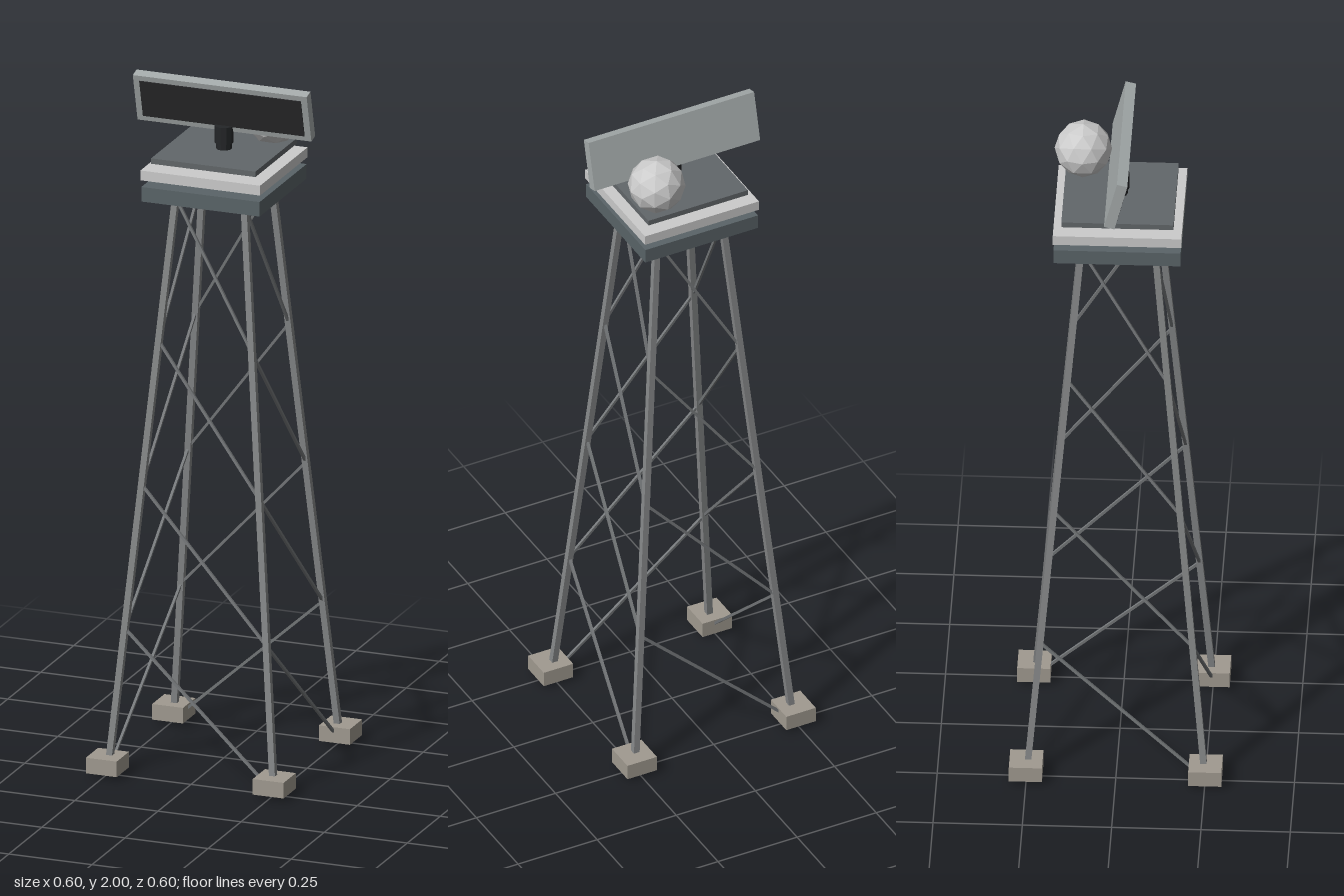
import * as THREE from 'three';

const mat = (color) => new THREE.MeshStandardMaterial({ color, flatShading: true });
const steel = mat(0x858788), braceSteel = mat(0x75787a), concrete = mat(0xa09a90);
const deckMat = mat(0x5a6468), railMat = mat(0xcccccc), plateMat = mat(0x62676a);
const black = mat(0x242628), casing = mat(0xa4aaaa), screenMat = mat(0x2a2a2c);

function add(parent, name, geometry, material, x = 0, y = 0, z = 0) {
  const mesh = new THREE.Mesh(geometry, material);
  mesh.name = name;
  mesh.position.set(x, y, z);
  parent.add(mesh);
  return mesh;
}

// Square bar running from point a to point b
function bar(parent, name, a, b, width, material) {
  const dir = b.clone().sub(a);
  const mid = a.clone().add(b).multiplyScalar(0.5);
  const mesh = add(parent, name, new THREE.BoxGeometry(width, dir.length(), width), material, mid.x, mid.y, mid.z);
  mesh.quaternion.setFromUnitVectors(new THREE.Vector3(0, 1, 0), dir.normalize());
}

const BASE = 0.25, TOP = 0.102, HEIGHT = 1.69;
const corners = [[-1, -1], [1, -1], [1, 1], [-1, 1]];

// Point on the centre line of a leg at height y
function legPoint(i, y) {
  const [sx, sz] = corners[i % 4];
  const r = THREE.MathUtils.lerp(BASE, TOP, y / HEIGHT);
  return new THREE.Vector3(sx * r, y, sz * r);
}

export function createModel() {
  const model = new THREE.Group();
  model.name = 'latticeTower';

  // Legs, footings and one rising diagonal per tier on each face
  const tower = new THREE.Group();
  tower.name = 'tower';
  model.add(tower);
  const tiers = 4, y0 = 0.005, step = 0.417;
  corners.forEach(([sx, sz], i) => {
    bar(tower, 'leg', legPoint(i, 0.001), legPoint(i, HEIGHT), 0.018, steel);
    add(tower, 'footing', new THREE.BoxGeometry(0.093, 0.046, 0.093), concrete, sx * 0.251, 0.033, sz * 0.251);
    for (let t = 0; t < tiers; t++) {
      bar(tower, 'brace', legPoint(i, y0 + t * step), legPoint(i + 1, y0 + (t + 1) * step), 0.0075, braceSteel);
    }
  });

  // Stacked platform
  const platform = new THREE.Group();
  platform.name = 'platform';
  model.add(platform);
  add(platform, 'deck', new THREE.BoxGeometry(0.356, 0.043, 0.356), deckMat, 0, 1.697, 0);
  add(platform, 'rim', new THREE.BoxGeometry(0.36, 0.029, 0.36), railMat, 0, 1.753, 0);
  add(platform, 'topPlate', new THREE.BoxGeometry(0.314, 0.016, 0.314), plateMat, 0, 1.791, 0);

  // Mast with a wider head
  add(model, 'mast', new THREE.CylinderGeometry(0.022, 0.022, 0.15, 10), black, 0, 1.79, 0);
  add(model, 'mastHead', new THREE.CylinderGeometry(0.027, 0.027, 0.05, 10), black, 0, 1.842, 0);

  // Panel leaning forward, with a dark face
  const panel = new THREE.Group();
  panel.name = 'panel';
  panel.position.set(0, 1.925, 0);
  panel.rotation.x = 0.25;
  model.add(panel);
  add(panel, 'panelCasing', new THREE.BoxGeometry(0.523, 0.147, 0.03), casing);
  add(panel, 'panelFace', new THREE.BoxGeometry(0.486, 0.115, 0.006), screenMat, 0, 0, 0.0145);

  // Faceted dome behind the panel
  add(model, 'dome', new THREE.IcosahedronGeometry(0.081, 1), railMat, 0.105, 1.875, -0.107);

  return model;
}
